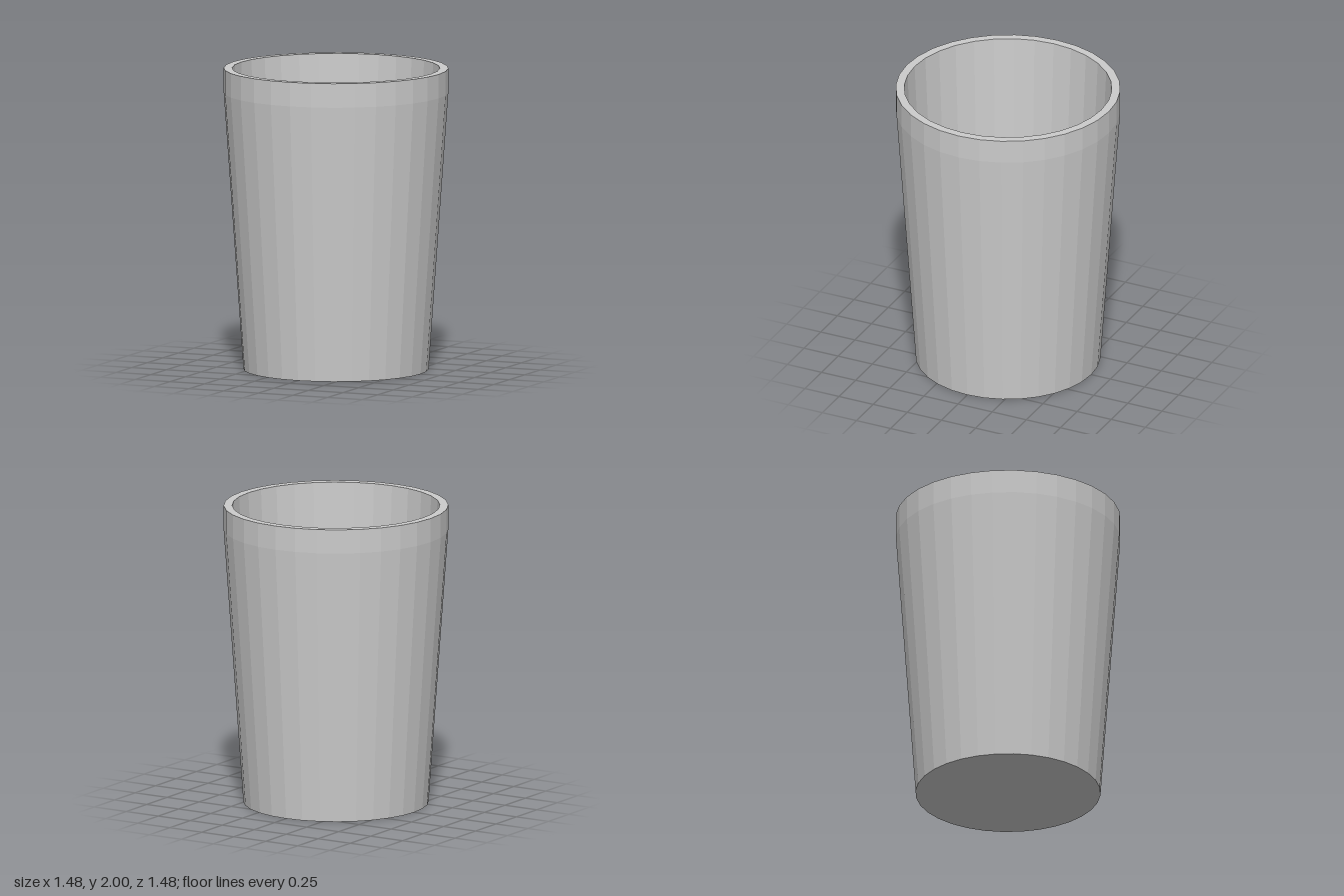
import * as THREE from 'three';

const SEGMENTS = 32;

export function createModel() {
  const model = new THREE.Group();
  model.name = 'tumbler';
  const material = new THREE.MeshStandardMaterial({ color: 0xcccccc, flatShading: true });

  // Revolves a [radius, height] profile around the upright axis
  const revolve = (name, profile) => {
    const points = profile.map(([r, y]) => new THREE.Vector2(r, y));
    const mesh = new THREE.Mesh(new THREE.LatheGeometry(points, SEGMENTS), material);
    mesh.name = name;
    model.add(mesh);
  };

  // Flat underside
  revolve('base', [[0, 0], [0.61, 0]]);
  // Tapered outer wall
  revolve('outerWall', [[0.61, 0], [0.74, 1.84]]);
  // Straight band at the mouth and flat lip
  revolve('rim', [[0.74, 1.84], [0.74, 2], [0.684, 2]]);
  // Tapered inner wall
  revolve('innerWall', [[0.684, 2], [0.593, 0.08]]);
  // Inside floor
  revolve('innerFloor', [[0.593, 0.08], [0, 0.08]]);

  return model;
}
